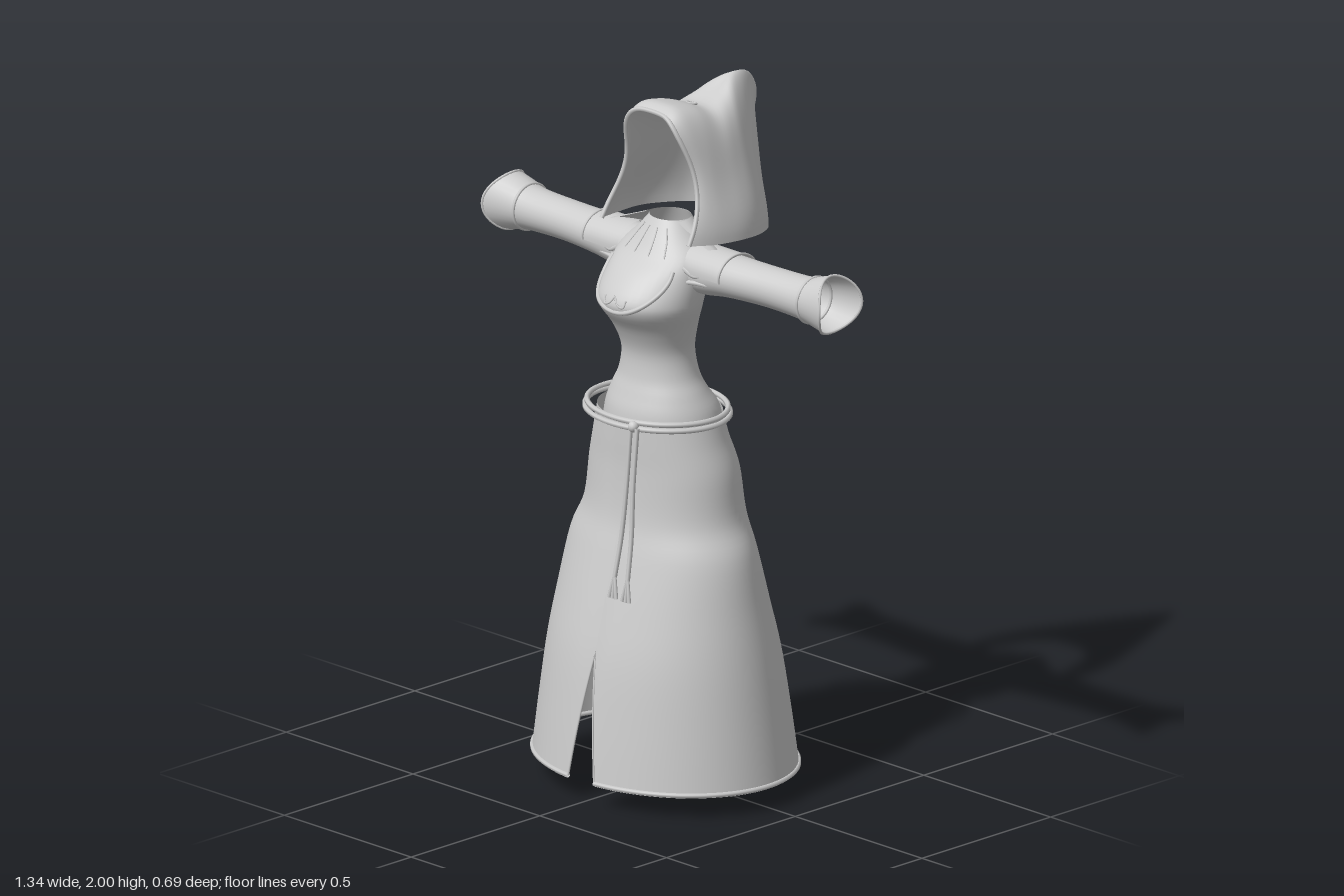
import * as THREE from 'three';

const cloth = new THREE.MeshStandardMaterial({ color: 0xcccccc, side: THREE.DoubleSide });
cloth.name = 'paleCloth';

const V = (x, y, z) => new THREE.Vector3(x, y, z);

// Grid surface: fn(i, j) gives the point of row i, column j
function loft(name, rows, cols, fn, closed = false) {
  const pos = [], idx = [];
  for (let i = 0; i < rows; i++) for (let j = 0; j < cols; j++) pos.push(...fn(i, j));
  const last = closed ? cols : cols - 1;
  for (let i = 0; i < rows - 1; i++) for (let j = 0; j < last; j++) {
    const a = i * cols + j, b = i * cols + (j + 1) % cols, c = a + cols, d = b + cols;
    idx.push(a, c, b, b, c, d);
  }
  const g = new THREE.BufferGeometry();
  g.setAttribute('position', new THREE.Float32BufferAttribute(pos, 3));
  g.setIndex(idx);
  g.computeVertexNormals();
  return mesh(name, g);
}

function mesh(name, geometry) {
  const m = new THREE.Mesh(geometry, cloth);
  m.name = name;
  return m;
}

function cord(name, points, r, closed = false, segs = 48) {
  const curve = new THREE.CatmullRomCurve3(points, closed);
  return mesh(name, new THREE.TubeGeometry(curve, segs, r, 6, closed));
}

// Smooth resampling of a short list of rows
function sampler(rows) {
  return (t) => {
    const f = Math.min(Math.max(t, 0), 1) * (rows.length - 1);
    const i = Math.min(Math.floor(f), rows.length - 2), k = f - i;
    const at = (n) => rows[Math.min(Math.max(n, 0), rows.length - 1)];
    return rows[0].map((_, c) => {
      const [a, b, d, e] = [at(i - 1)[c], at(i)[c], at(i + 1)[c], at(i + 2)[c]];
      return b + 0.5 * k * (d - a + k * (2 * a - 5 * b + 4 * d - e + k * (3 * (b - d) + e - a)));
    });
  };
}

// Skirt rows: y, half width, front z, back z
const skirtAt = sampler([
  [1.09, 0.19, 0.19, -0.125], [1.02, 0.21, 0.19, -0.135], [0.93, 0.238, 0.19, -0.16],
  [0.8, 0.258, 0.2, -0.175], [0.7, 0.303, 0.225, -0.19], [0.55, 0.333, 0.265, -0.23],
  [0.4, 0.36, 0.3, -0.27], [0.22, 0.385, 0.325, -0.3], [0.06, 0.405, 0.343, -0.322]]);

function skirtPoint(side, t, s) {
  const [y, rx, zf, zb] = skirtAt(t);
  const open = Math.max(0, (0.43 - y) / 0.37);
  const a0 = Math.asin(0.052 * open / rx), a1 = Math.PI - Math.asin(0.068 * open / rx);
  const a = a0 + (a1 - a0) * s;
  const x = rx * Math.sin(a);
  const notch = (1 - open) * 0.012 * Math.exp(-((x / 0.03) ** 2)) * Math.sign(Math.cos(a));
  return [side * x, y, (zf + zb) / 2 + (zf - zb) / 2 * Math.cos(a) - notch];
}

function buildSkirt(side) {
  const g = new THREE.Group();
  g.name = side > 0 ? 'leftSkirtPanel' : 'rightSkirtPanel';
  g.add(loft('skirtCloth', 41, 41, (i, j) => skirtPoint(side, i / 40, j / 40)));
  const hem = [];
  for (let j = 0; j <= 24; j++) hem.push(V(...skirtPoint(side, 0.99, j / 24)));
  g.add(cord('skirtHem', hem, 0.007, false, 60));
  for (const s of [0, 1]) {
    const edge = [];
    for (let i = 0; i <= 8; i++) edge.push(V(...skirtPoint(side, 0.74 + 0.25 * i / 8, s)));
    g.add(cord('slitEdge', edge, 0.003, false, 16));
  }
  return g;
}

// Bodice rows: y, half width, front z, back z
const bodiceAt = sampler([
  [1.04, 0.185, 0.17, -0.13], [1.1, 0.172, 0.165, -0.12], [1.15, 0.148, 0.15, -0.085],
  [1.2, 0.122, 0.136, -0.064], [1.27, 0.11, 0.135, -0.055], [1.34, 0.127, 0.165, -0.06],
  [1.4, 0.148, 0.21, -0.073], [1.44, 0.152, 0.212, -0.085], [1.5, 0.15, 0.165, -0.09],
  [1.55, 0.145, 0.108, -0.088], [1.595, 0.1, 0.075, -0.077], [1.64, 0.062, 0.045, -0.06]]);

function bodicePoint(t, a) {
  const [y, rx, zf, zb] = bodiceAt(t);
  return V(rx * Math.sin(a), y, (zf + zb) / 2 + (zf - zb) / 2 * Math.cos(a));
}

// Point on the bodice front at a given x and y
function onBodice(x, y) {
  let lo = 0, hi = 1;
  for (let n = 0; n < 24; n++) {
    const mid = (lo + hi) / 2;
    if (bodiceAt(mid)[0] < y) lo = mid; else hi = mid;
  }
  return bodicePoint(lo, Math.asin(Math.min(1, Math.max(-1, x / bodiceAt(lo)[1]))));
}

function buildBodice() {
  const g = new THREE.Group();
  g.name = 'bodice';
  g.add(loft('bodiceCloth', 49, 40, (i, j) => bodicePoint(i / 48, j / 40 * 2 * Math.PI).toArray(), true));
  // Curved neckline trim
  const neckline = Array.from({ length: 17 }, (_, j) => {
    const a = (j / 16 - 0.5) * Math.PI * 1.15;
    return onBodice(0.12 * Math.sin(a), 1.5 - 0.095 * Math.cos(a));
  });
  g.add(cord('necklineTrim', neckline, 0.007, false, 64));
  // Drawstring and gathers
  for (const s of [-1, 1]) {
    g.add(cord('drawstring', [[0, 1.45], [0.015, 1.43], [0.035, 1.425], [0.04, 1.445]].map(([x, y]) => onBodice(s * x, y)), 0.003, false, 16));
    for (const k of [0.25, 0.7]) {
      g.add(cord('gather', [1.62, 1.59, 1.55].map((y, n) => onBodice(s * k * (0.06 + 0.025 * n), y)), 0.0025, false, 12));
    }
  }
  const seam = Array.from({ length: 11 }, (_, i) => bodicePoint(0.1 + 0.065 * i, Math.PI));
  g.add(cord('backSeam', seam, 0.003));
  // Shoulder collar lying over the back
  g.add(loft('shoulderCollar', 5, 25, (i, j) => {
    const k = i / 4, a = Math.PI * (0.42 + 1.16 * j / 24), b = Math.max(0, -Math.cos(a));
    return [(0.068 + 0.132 * k) * Math.sin(a), 1.64 - (0.05 + 0.08 * b) * k, 0.01 + (0.075 + 0.035 * k) * Math.cos(a)];
  }));
  return g;
}

// Sleeve rows: x, centre y, height radius, centre z, depth radius
const sleeveAt = sampler([
  [0.09, 1.515, 0.068, 0, 0.07], [0.17, 1.515, 0.068, -0.004, 0.07], [0.26, 1.52, 0.06, -0.006, 0.068],
  [0.4, 1.522, 0.057, -0.012, 0.062], [0.53, 1.522, 0.061, -0.014, 0.064],
  [0.585, 1.524, 0.072, -0.016, 0.072], [0.645, 1.526, 0.083, -0.014, 0.083]]);

function buildSleeve(side) {
  const g = new THREE.Group();
  g.name = side > 0 ? 'leftSleeve' : 'rightSleeve';
  const ring = (t, a) => {
    const [x, cy, ry, cz, rz] = sleeveAt(t);
    const flare = Math.max(0, (t - 0.8) / 0.2) * 0.02 * Math.cos(2 * a);
    return [side * (x + flare), cy + ry * Math.sin(a), cz + rz * Math.cos(a)];
  };
  const loop = (t) => Array.from({ length: 20 }, (_, j) => V(...ring(t, j / 20 * 2 * Math.PI)));
  g.add(loft('sleeveCloth', 31, 28, (i, j) => ring(i / 30, j / 28 * 2 * Math.PI), true));
  g.add(cord('cuffBand', loop(0.74), 0.005, true));
  g.add(cord('cuffEdge', loop(1), 0.004, true));
  // Short cap draped over the upper arm
  const cap = (x, a) => [side * x, 1.525 + 0.062 * Math.sin(a), -0.004 + 0.075 * Math.cos(a)];
  g.add(loft('shoulderCap', 6, 19, (i, j) => cap(0.13 + 0.028 * i, -0.1 + 3.34 * j / 18)));
  g.add(cord('shoulderCapEdge', Array.from({ length: 13 }, (_, j) => V(...cap(0.268, -0.1 + 3.34 * j / 12))), 0.004));
  // Armpit folds
  for (const k of [0, 1]) {
    g.add(cord('sleeveFold', [V(side * 0.13, 1.53 - 0.04 * k, 0.07), V(side * 0.165, 1.515 - 0.02 * k, 0.064), V(side * 0.21, 1.525 - 0.03 * k, 0.054)], 0.007, false, 12));
  }
  return g;
}

// Hood rows: crown y, crown z, hem half width, hem y, hem z
const hoodAt = sampler([
  [1.955, 0.06, 0.172, 1.61, 0.09], [1.972, 0.025, 0.185, 1.605, 0.05], [1.96, -0.045, 0.197, 1.6, 0],
  [1.938, -0.115, 0.205, 1.597, -0.06], [1.962, -0.18, 0.204, 1.594, -0.11], [1.997, -0.245, 0.195, 1.59, -0.155],
  [1.985, -0.31, 0.18, 1.587, -0.195], [1.925, -0.343, 0.16, 1.585, -0.23], [1.85, -0.325, 0.13, 1.584, -0.26],
  [1.77, -0.275, 0.095, 1.583, -0.285], [1.7, -0.25, 0.06, 1.582, -0.3], [1.64, -0.27, 0.03, 1.581, -0.308],
  [1.581, -0.31, 0, 1.581, -0.31]]);

function hoodPoint(t, s) {
  const [py, pz, hx, hy, hz] = hoodAt(t);
  const a = Math.PI * s, c = Math.abs(Math.cos(a)), n = Math.sin(a);
  // Round over the head, pinched to a narrow peak behind, flared at the hem
  const e = 0.5 + 1.1 * Math.exp(-(((t - 0.52) / 0.17) ** 2));
  const x = hx * (0.82 * c ** e + 0.18 * c ** 14);
  const dip = 0.2 * n * c ** 4 * Math.max(0, 1 - 5 * t);
  return [Math.sign(0.5 - s) * x, hy + (py - hy) * n, hz + (pz - hz) * (1 - c) - dip];
}

function buildHood() {
  const g = new THREE.Group();
  g.name = 'hood';
  g.add(loft('hoodCloth', 49, 65, (i, j) => hoodPoint(i / 48, j / 64)));
  g.add(cord('hoodOpeningTrim', Array.from({ length: 33 }, (_, j) => V(...hoodPoint(0, j / 32))), 0.007, false, 80));
  const eyelet = mesh('crownEyelet', new THREE.TorusGeometry(0.014, 0.003, 6, 16));
  eyelet.position.set(0, 1.945, -0.09);
  eyelet.rotation.x = Math.PI / 2 - 0.3;
  g.add(eyelet);
  return g;
}

function buildBelt() {
  const g = new THREE.Group();
  g.name = 'belt';
  for (const [y, r] of [[1.084, 0], [1.1, -0.006]]) {
    const pts = Array.from({ length: 24 }, (_, j) => {
      const a = j / 24 * 2 * Math.PI;
      return V((0.22 + r) * Math.sin(a), y, 0.042 + (0.182 + r) * Math.cos(a));
    });
    g.add(cord('beltCord', pts, 0.008, true, 72));
  }
  const knot = mesh('beltKnot', new THREE.SphereGeometry(0.016, 12, 8));
  knot.position.set(0.08, 1.09, 0.215);
  g.add(knot);
  // Hanging cords with split tassels
  for (const [x0, x1] of [[0.074, 0.064], [0.1, 0.115]]) {
    g.add(cord('hangingCord', [V(x0, 1.09, 0.22), V(x0, 0.92, 0.236), V((x0 + x1) / 2, 0.78, 0.25), V(x1, 0.66, 0.272)], 0.007));
    for (const d of [-0.013, 0, 0.013]) {
      const tassel = mesh('tassel', new THREE.CylinderGeometry(0.004, 0.006, 0.065, 6));
      tassel.position.set(x1 + d * 0.6, 0.632, 0.276);
      tassel.rotation.set(-0.12, 0, d * 14);
      g.add(tassel);
    }
  }
  return g;
}

// Open leg tube, widening toward the hip
function buildLeg(side) {
  return loft(side > 0 ? 'leftLeg' : 'rightLeg', 9, 24, (i, j) => {
    const k = i / 8, a = j / 24 * 2 * Math.PI, r = 0.05 + 0.03 * k;
    const y = Math.max(0, 1.05 * k);
    return [side * 0.095 + r * Math.sin(a), y, -0.02 + 0.03 * k + 1.25 * r * Math.cos(a)];
  }, true);
}

export function createModel() {
  const model = new THREE.Group();
  model.name = 'hoodedRobe';
  model.add(buildHood(), buildBodice(), buildBelt());
  for (const side of [1, -1]) model.add(buildSkirt(side), buildSleeve(side), buildLeg(side));
  return model;
}
